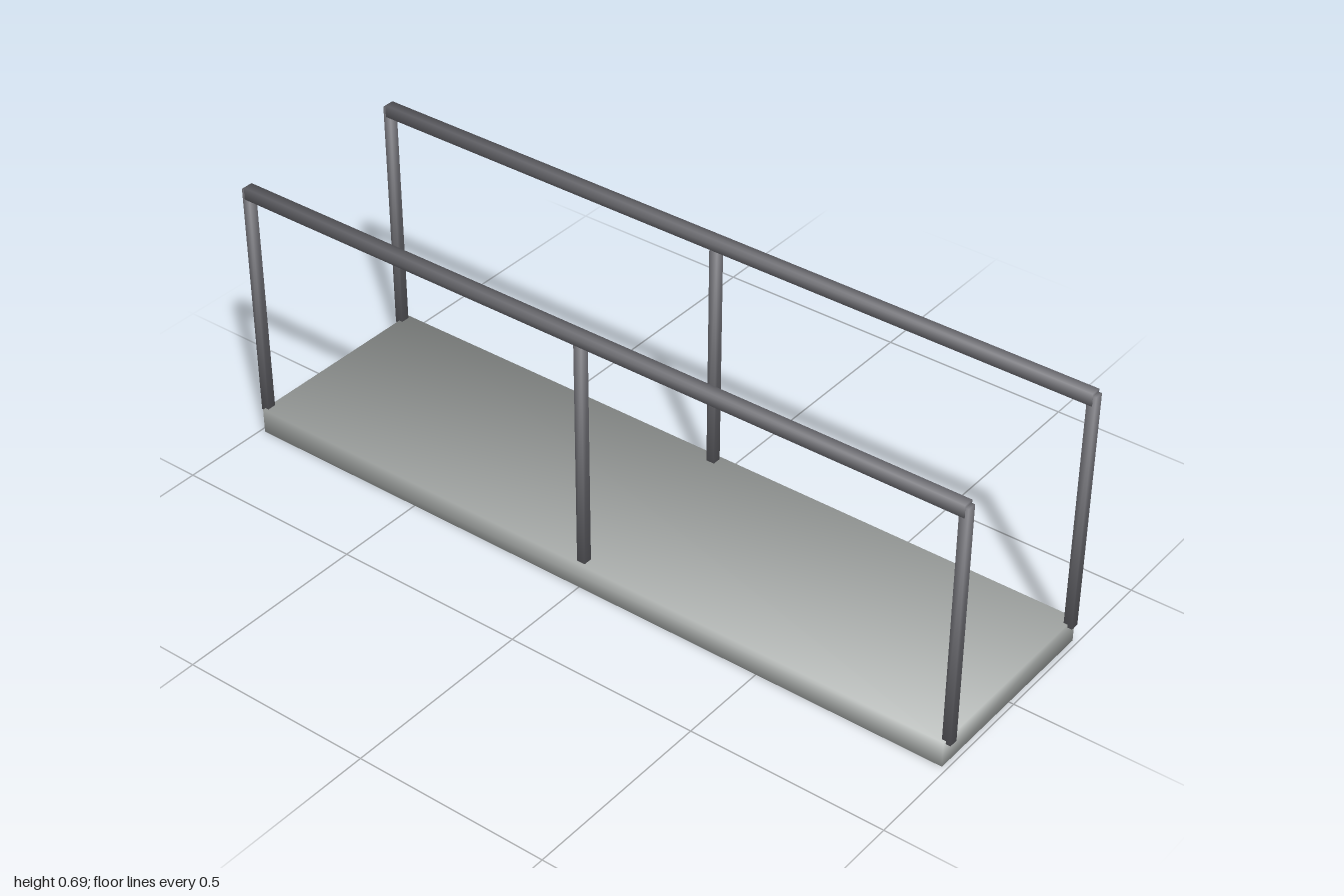
import * as THREE from 'three';

const deckMaterial = new THREE.MeshStandardMaterial({ color: 0xb2b6b4 });
const railMaterial = new THREE.MeshStandardMaterial({ color: 0x6e6e74 });

// Box whose corner normals point diagonally outwards, for soft shading
function softBox(name, material, [w, h, d], [x, y, z]) {
  const geometry = new THREE.BoxGeometry(w, h, d);
  const { position, normal } = geometry.attributes;
  const k = 1 / Math.sqrt(3);
  for (let i = 0; i < position.count; i++) {
    normal.setXYZ(i, k * Math.sign(position.getX(i)), k * Math.sign(position.getY(i)), k * Math.sign(position.getZ(i)));
  }
  const mesh = new THREE.Mesh(geometry, material);
  mesh.name = name;
  mesh.position.set(x, y, z);
  return mesh;
}

export function createModel() {
  const model = new THREE.Group();
  model.name = 'footbridge';

  // Walkway slab
  model.add(softBox('deck', deckMaterial, [0.528, 0.066, 1.976], [0, 0.033, 0]));

  // One railing on each side: three posts under a handrail
  for (const side of [1, -1]) {
    const railing = new THREE.Group();
    railing.name = side > 0 ? 'leftRailing' : 'rightRailing';
    railing.position.x = side * 0.244;
    for (const [name, z] of [['frontPost', 0.989], ['middlePost', 0], ['backPost', -0.989]]) {
      railing.add(softBox(name, railMaterial, [0.023, 0.625, 0.022], [0, 0.3705, z]));
    }
    railing.add(softBox('handrail', railMaterial, [0.026, 0.032, 1.984], [0, 0.674, 0]));
    model.add(railing);
  }
  return model;
}
